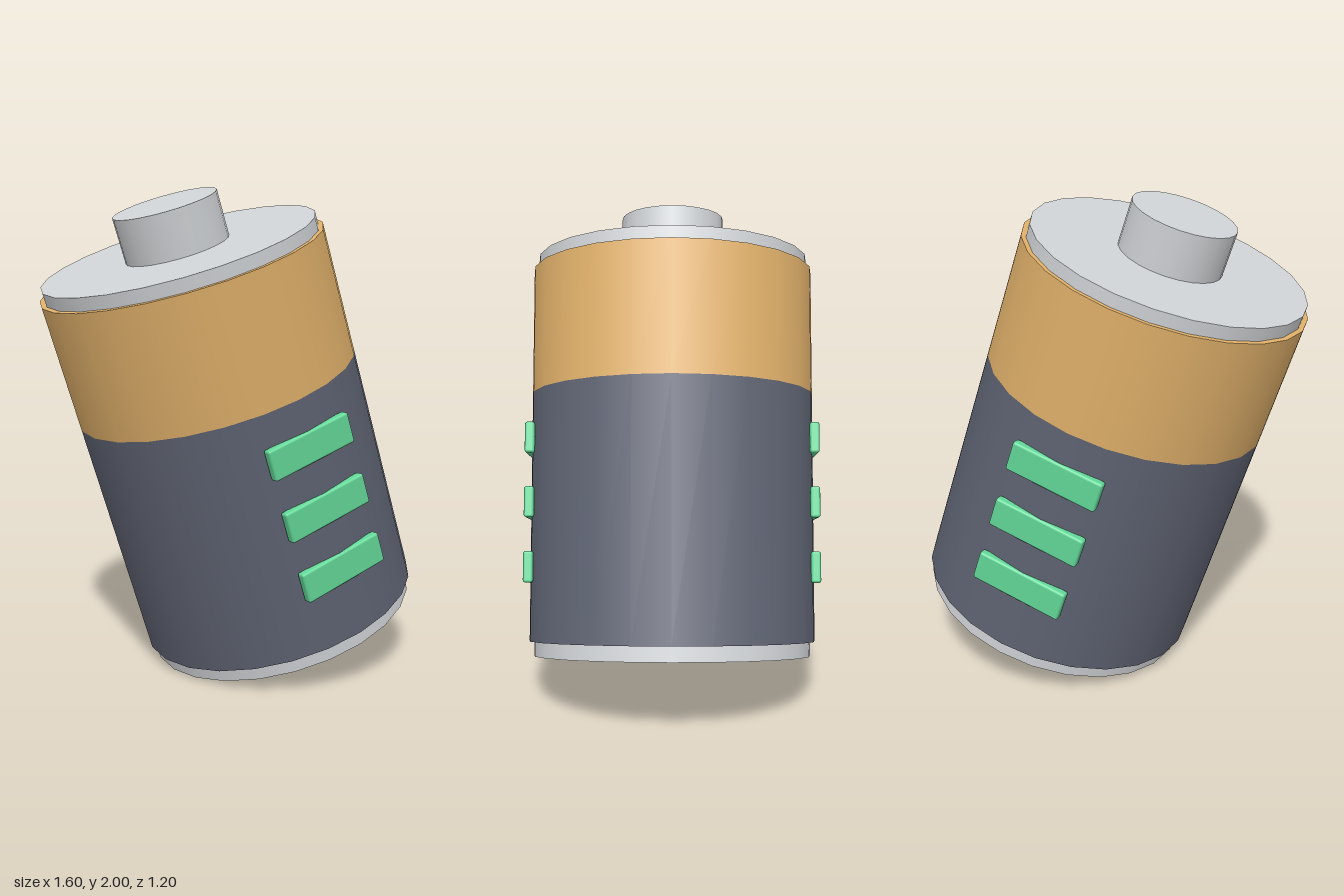
import * as THREE from 'three';
import { RoundedBoxGeometry } from 'three/addons/geometries/RoundedBoxGeometry.js';

const material = (name, color) => new THREE.MeshStandardMaterial({ name, color });

export function createModel() {
  const silver = material('silver metal', 0xd0d3d6);
  const gold = material('gold band', 0xe0b06a);
  const slate = material('dark slate', 0x5f6473);
  const green = material('charge green', 0x62d797);

  const model = new THREE.Group();
  model.name = 'battery';

  // Everything is built upright, then leaned over as one piece
  const cell = new THREE.Group();
  cell.name = 'tiltedCell';
  cell.position.set(0.24, 0.235, 0);
  cell.rotation.z = THREE.MathUtils.degToRad(18);
  model.add(cell);

  const add = (name, geometry, mat, x, y, z) => {
    const mesh = new THREE.Mesh(geometry, mat);
    mesh.name = name;
    mesh.position.set(x, y, z);
    cell.add(mesh);
  };
  const drum = (name, radius, bottom, top, mat) =>
    add(name, new THREE.CylinderGeometry(radius, radius, top - bottom, 24), mat, 0, (bottom + top) / 2, 0);

  // Casing, end plates and terminal
  drum('bottomPlate', 0.57, -0.06, 0.01, silver);
  drum('lowerCasing', 0.59, 0, 1.02, slate);
  drum('upperCasing', 0.59, 1.02, 1.546, gold);
  drum('topPlate', 0.57, 1.53, 1.6, silver);
  drum('terminal', 0.215, 1.59, 1.788, silver);

  // Three charge bars on the front and on the back
  const bar = new RoundedBoxGeometry(0.39, 0.126, 0.04, 2, 0.01);
  for (const [side, z] of [['front', 0.58], ['back', -0.58]]) {
    for (let i = 0; i < 3; i++) {
      add(`${side}ChargeBar${i + 1}`, bar, green, 0, 0.3 + i * 0.263, z);
    }
  }
  return model;
}
